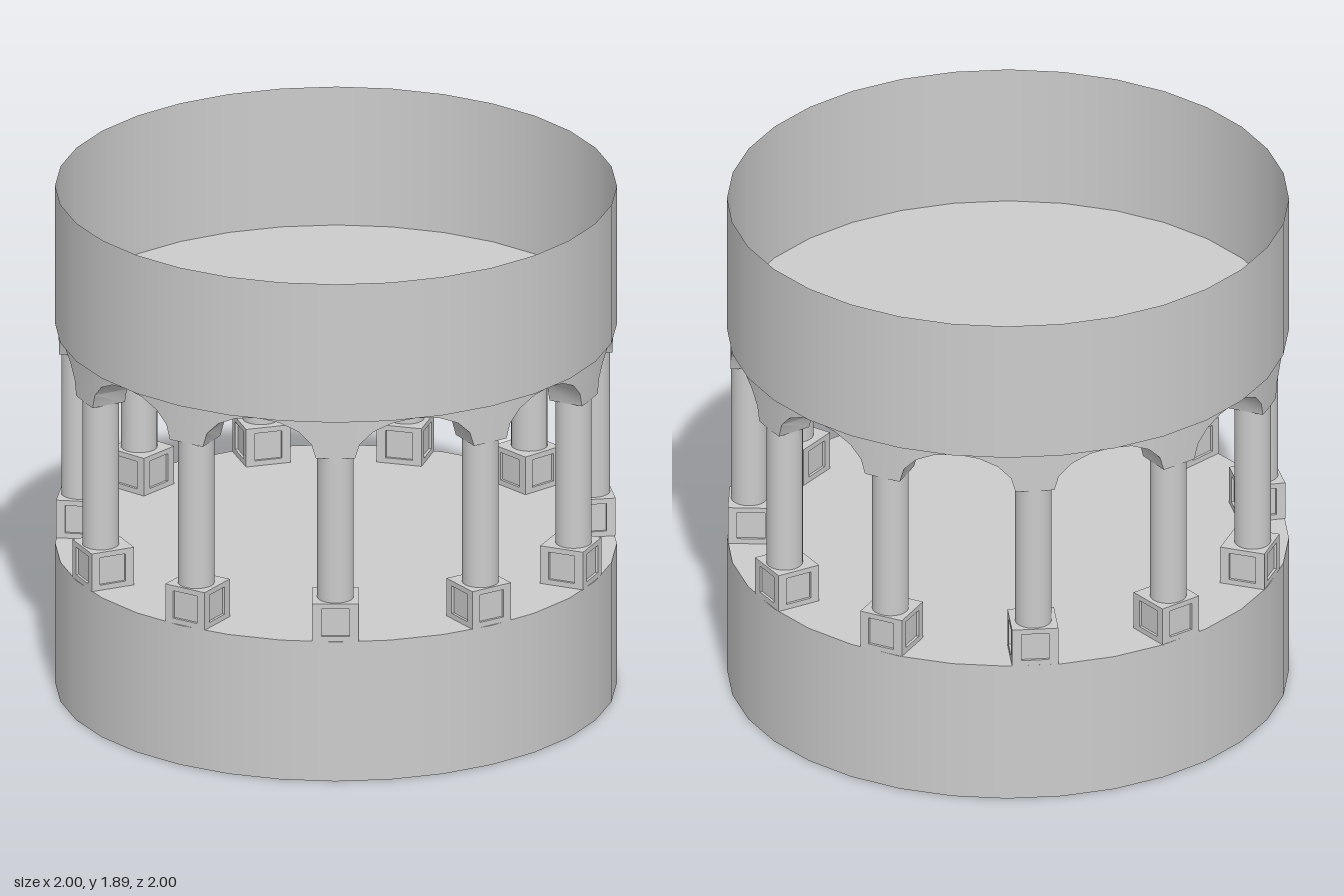
import * as THREE from 'three';
import { toCreasedNormals } from 'three/addons/utils/BufferGeometryUtils.js';

const SIDES = 32, COLUMNS = 11, STEP = 32.6;
const FLOOR = 0.53, PLINTH_TOP = 0.673, SPRING = 1.222, CEILING = 1.364, TOP = 1.89;
const RING = 0.922, COLUMN_R = 0.065;
const rad = THREE.MathUtils.degToRad;

const solid = new THREE.MeshStandardMaterial({ color: 0xcccccc });
const thin = new THREE.MeshStandardMaterial({ color: 0xcccccc, side: THREE.DoubleSide });

function add(parent, name, geometry, material, x = 0, y = 0, z = 0) {
  const mesh = new THREE.Mesh(geometry, material);
  mesh.name = name;
  mesh.position.set(x, y, z);
  parent.add(mesh);
  return mesh;
}

// Open-ended thin drum closed by one disc
function drum(name, bottom, top, discY) {
  const group = new THREE.Group();
  group.name = name;
  const wall = new THREE.CylinderGeometry(1, 1, top - bottom, SIDES, 1, true);
  add(group, name + 'Wall', wall, thin, 0, (bottom + top) / 2, 0);
  const disc = new THREE.CircleGeometry(1, SIDES).rotateX(-Math.PI / 2);
  add(group, name + 'Disc', disc, thin, 0, discY, 0);
  return group;
}

// Square plinth with a sunken panel on each side
function plinth() {
  const group = new THREE.Group();
  group.name = 'plinth';
  const w = 0.166, h = PLINTH_TOP - FLOOR, t = 0.01;
  add(group, 'plinthCore', new THREE.BoxGeometry(w - 2 * t, h, w - 2 * t), solid);
  const frame = new THREE.Shape();
  frame.moveTo(-w / 2, -h / 2).lineTo(w / 2, -h / 2).lineTo(w / 2, h / 2).lineTo(-w / 2, h / 2).closePath();
  const hole = new THREE.Path();
  const a = 0.05, b = 0.052;
  hole.moveTo(-a, -b).lineTo(-a, b).lineTo(a, b).lineTo(a, -b).closePath();
  frame.holes.push(hole);
  const geometry = new THREE.ExtrudeGeometry(frame, { depth: t, bevelEnabled: false });
  geometry.translate(0, 0, w / 2 - t);
  for (let i = 0; i < 4; i++) add(group, 'plinthFrame', geometry, solid).rotation.y = i * Math.PI / 2;
  return group;
}

// Curved ring of half-elliptical arches springing from the column tops
function arcade(angles) {
  const inner = 0.857, outer = 0.988, segments = 8;
  const half = Math.asin(COLUMN_R / RING);
  const sections = [];
  angles.forEach((start, i) => {
    const end = i + 1 < angles.length ? angles[i + 1] : Math.PI * 2;
    const mid = (start + end) / 2, span = (end - start) / 2 - half;
    sections.push([start, SPRING]);
    for (let s = 0; s <= segments; s++) {
      const t = Math.PI * s / segments;
      sections.push([mid - span * Math.cos(t), SPRING + (CEILING - SPRING - 0.002) * Math.sin(t)]);
    }
  });
  const positions = [], indices = [];
  for (const [angle, y] of sections) {
    for (const [r, h] of [[outer, CEILING], [outer, y], [inner, y], [inner, CEILING]]) {
      positions.push(r * Math.sin(angle), h, r * Math.cos(angle));
    }
  }
  for (let i = 0; i < sections.length; i++) {
    const a = i * 4, b = ((i + 1) % sections.length) * 4;
    for (let j = 0; j < 3; j++) {
      indices.push(a + j + 1, b + j + 1, b + j, a + j + 1, b + j, a + j);
    }
  }
  const geometry = new THREE.BufferGeometry();
  geometry.setAttribute('position', new THREE.Float32BufferAttribute(positions, 3));
  geometry.setIndex(indices);
  return toCreasedNormals(geometry, rad(30));
}

export function createModel() {
  const model = new THREE.Group();
  model.name = 'colonnadeRotunda';

  model.add(drum('lowerDrum', 0, FLOOR, FLOOR));
  model.add(drum('upperDrum', CEILING, TOP, CEILING));

  // Columns step evenly round the ring, leaving one slightly wider bay
  const angles = [0];
  for (let i = COLUMNS - 1; i > 0; i--) angles.push(rad(360 - i * STEP));

  const shaft = new THREE.CylinderGeometry(COLUMN_R, COLUMN_R, SPRING - PLINTH_TOP, 24);
  for (const angle of angles) {
    const column = new THREE.Group();
    column.name = 'column';
    add(column, 'columnShaft', shaft, solid, 0, (SPRING + PLINTH_TOP) / 2, RING);
    const base = plinth();
    base.position.set(0, (FLOOR + PLINTH_TOP) / 2, RING - 0.01);
    column.add(base);
    column.rotation.y = angle;
    model.add(column);
  }

  add(model, 'archRing', arcade(angles), solid);
  return model;
}
